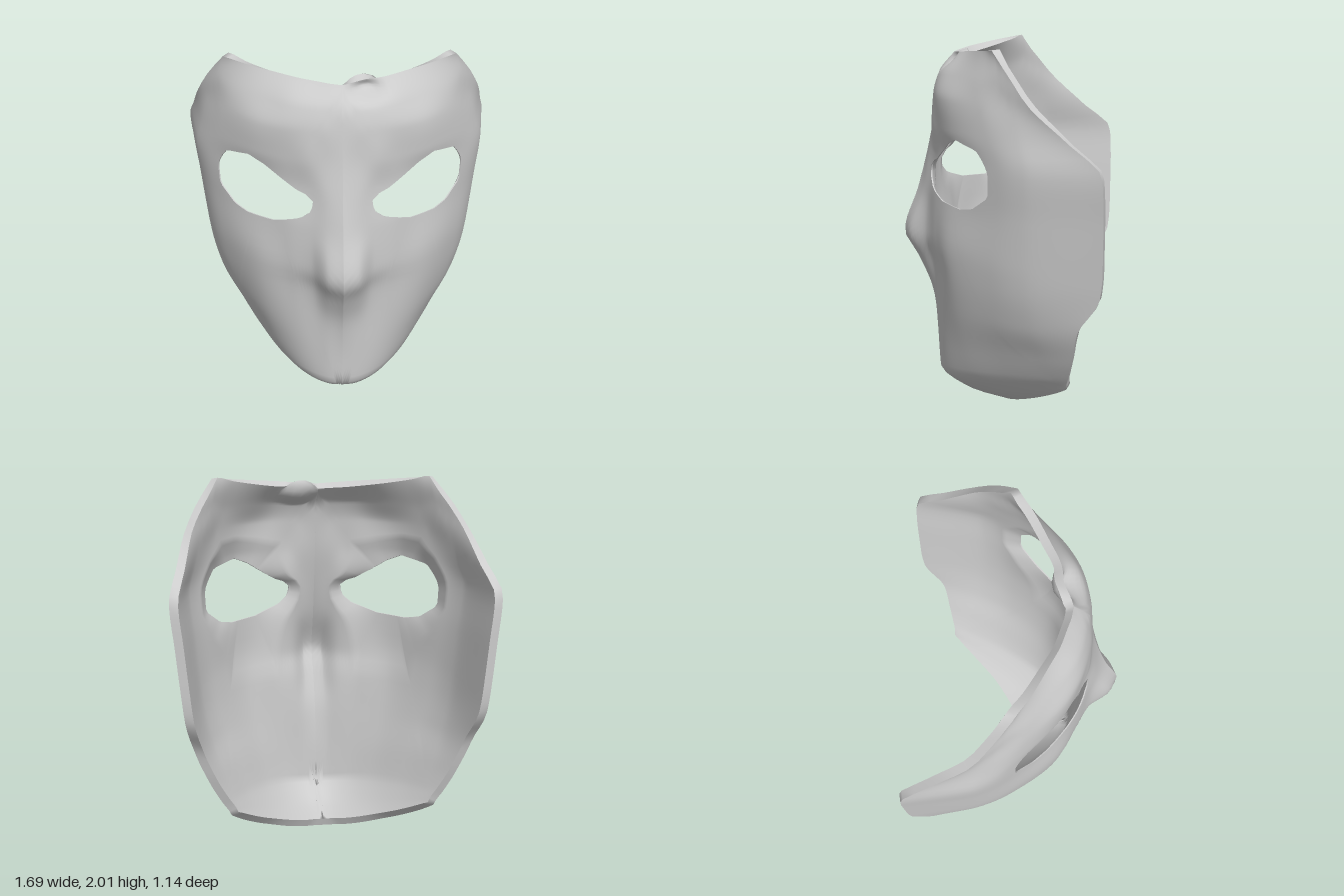
import * as THREE from 'three';

// Half cross-sections, chin to brow: height at centre, rise toward the edge, half width,
// then depth z at each column fraction of the half width.
const COLS = [0, 0.1, 0.2, 0.35, 0.55, 0.8, 0.92, 1];
const ROWS = [
  [0, 0.25, 0.55, 0.04, 0.03, 0, -0.05, -0.13, -0.27, -0.34, -0.38],
  [0.05, 0.22, 0.56, 0.2, 0.2, 0.18, 0.12, 0, -0.2, -0.31, -0.38],
  [0.18, 0.15, 0.6, 0.37, 0.365, 0.345, 0.29, 0.16, -0.1, -0.27, -0.39],
  [0.38, 0.07, 0.665, 0.38, 0.375, 0.355, 0.31, 0.2, -0.06, -0.25, -0.41],
  [0.6, 0.02, 0.735, 0.41, 0.39, 0.36, 0.32, 0.23, -0.01, -0.2, -0.44],
  [0.82, 0, 0.785, 0.5, 0.46, 0.38, 0.33, 0.25, 0.01, -0.19, -0.55],
  [0.95, 0, 0.8, 0.57, 0.53, 0.42, 0.35, 0.26, 0.02, -0.18, -0.56],
  [1.2, 0, 0.825, 0.49, 0.45, 0.4, 0.34, 0.22, 0, -0.18, -0.56],
  [1.43, 0, 0.847, 0.43, 0.41, 0.37, 0.31, 0.19, -0.01, -0.18, -0.55],
  [1.58, 0, 0.805, 0.4, 0.39, 0.38, 0.33, 0.24, 0.03, -0.14, -0.39],
  [1.74, 0, 0.755, 0.38, 0.38, 0.37, 0.34, 0.26, 0.06, -0.1, -0.2],
  [1.85, 0.02, 0.69, 0.36, 0.35, 0.34, 0.31, 0.22, 0.08, -0.02, -0.1],
  [1.95, 0.05, 0.6, 0.28, 0.27, 0.25, 0.22, 0.16, 0.08, 0.03, 0],
];
const HEIGHTS = ROWS.map((r) => r[0]);
const TOP = 1.95;

// Eye opening, counterclockwise as [x, y]
const EYE = [[0.15, 1.375], [0.16, 1.3], [0.22, 1.25], [0.36, 1.2], [0.5, 1.188], [0.57, 1.205],
  [0.65, 1.28], [0.655, 1.4], [0.6, 1.51], [0.48, 1.545], [0.4, 1.51], [0.23, 1.4]];

// Smooth interpolation that never overshoots
function smooth(xs, ys, x) {
  const last = xs.length - 2;
  let k = 0;
  while (k < last && x > xs[k + 1]) k++;
  const slope = (i) => (ys[i + 1] - ys[i]) / (xs[i + 1] - xs[i]);
  const tangent = (i) => {
    if (i === 0) return slope(0);
    if (i > last) return slope(last);
    const a = slope(i - 1), b = slope(i);
    return a * b <= 0 ? 0 : (2 * a * b) / (a + b);
  };
  const h = xs[k + 1] - xs[k], t = (x - xs[k]) / h, t2 = t * t, t3 = t2 * t;
  return (2 * t3 - 3 * t2 + 1) * ys[k] + (t3 - 2 * t2 + t) * h * tangent(k)
    + (3 * t2 - 2 * t3) * ys[k + 1] + (t3 - t2) * h * tangent(k + 1);
}

const rowValue = (column, w) => smooth(HEIGHTS, ROWS.map((r) => r[column]), w);

// Point on the face: s runs from centre to edge, w from chin to brow
function facePoint(s, w, side) {
  const x = side * s * rowValue(2, w);
  const y = w + rowValue(1, w) * Math.pow(s, w > 1.7 ? 1 : 1.8);
  const depths = COLS.map((_, i) => rowValue(3 + i, w));
  // small dent at the top of the brow
  const dent = 0.07 * Math.exp(-(((x - 0.12) / 0.07) ** 2) - ((y - 1.92) / 0.035) ** 2);
  return [x, y, smooth(COLS, depths, s) - dent];
}

// Where a ray from the eye centre crosses the eye outline
function eyeHit(loop, c, dx, dy) {
  for (let i = 0; i < loop.length; i++) {
    const a = loop[i], b = loop[(i + 1) % loop.length];
    const ex = b[0] - a[0], ey = b[1] - a[1];
    const det = dx * ey - dy * ex;
    if (Math.abs(det) < 1e-9) continue;
    const ax = a[0] - c[0], ay = a[1] - c[1];
    const t = (ax * ey - ay * ex) / det;
    const u = (ax * dy - ay * dx) / det;
    if (t > 0 && u >= -1e-6 && u <= 1 + 1e-6) return [c[0] + dx * t, c[1] + dy * t];
  }
  return c;
}

function geometryFrom(positions, index) {
  const g = new THREE.BufferGeometry();
  g.setAttribute('position', new THREE.Float32BufferAttribute(positions, 3));
  g.setIndex(index);
  g.computeVertexNormals();
  return g;
}

export function createModel() {
  const group = new THREE.Group();
  group.name = 'mask';
  const grey = new THREE.MeshStandardMaterial({ color: 0xcccccc });
  grey.name = 'light grey';

  const RINGS = 28, THICK = 0.045;
  const loop = EYE.map(([x, y]) => [x / rowValue(2, y), y]);
  const centre = [0.5, 1.36];

  // Border of half the face, counterclockwise
  const border = [];
  const corners = [[0, 0], [1, 0], [1, TOP], [0, TOP]];
  corners.forEach((a, i) => {
    const b = corners[(i + 1) % 4], n = i % 2 ? 36 : 20;
    for (let k = 0; k < n; k++) {
      border.push([a[0] + (b[0] - a[0]) * k / n, a[1] + (b[1] - a[1]) * k / n]);
    }
  });
  const N = border.length;
  const eyeRing = border.map((p) => eyeHit(loop, centre, p[0] - centre[0], p[1] - centre[1]));

  // Rings of points from the eye to the border, sharing the centre line between halves
  const positions = [], thickness = [], halves = [];
  [1, -1].forEach((side, h) => {
    const ids = [];
    for (let i = 0; i <= RINGS; i++) {
      const t = 1 - Math.pow(1 - i / RINGS, 1.4);
      ids.push(border.map((b, j) => {
        if (h === 1 && i === RINGS && b[0] === 0) return halves[0][i][j];
        const e = eyeRing[j];
        const s = e[0] + (b[0] - e[0]) * t, w = e[1] + (b[1] - e[1]) * t;
        positions.push(...facePoint(s, w, side));
        thickness.push(THICK * Math.min(1, 0.15 + t * 3));
        return thickness.length - 1;
      }));
    }
    halves.push(ids);
  });

  const total = thickness.length;
  const front = [], back = [], rim = [];
  const quad = (list, a, b, c, d, flip) =>
    list.push(...(flip ? [a, c, b, a, d, c] : [a, b, c, a, c, d]));
  halves.forEach((ids, h) => {
    const flip = h === 1;
    for (let j = 0; j < N; j++) {
      const k = (j + 1) % N;
      for (let i = 0; i < RINGS; i++) {
        const q = [ids[i][j], ids[i + 1][j], ids[i + 1][k], ids[i][k]];
        quad(front, ...q, flip);
        quad(back, ...q, !flip);
      }
      const o = ids[RINGS], e = ids[0];
      if (border[j][0] > 0 || border[k][0] > 0) {
        quad(rim, o[j] + total, o[k] + total, o[k], o[j], flip);
      }
      quad(rim, e[j] + total, e[k] + total, e[k], e[j], !flip);
    }
  });

  // Outer face, inner face pushed back along the normals, and the edges joining them
  const outer = geometryFrom(positions, front);
  const normals = outer.attributes.normal.array;
  const inside = positions.map((p, i) => p - normals[i] * thickness[Math.floor(i / 3)]);
  const parts = {
    outerFace: outer,
    innerFace: geometryFrom(inside, back),
    edges: geometryFrom(positions.concat(inside), rim),
  };
  for (const [name, geometry] of Object.entries(parts)) {
    const mesh = new THREE.Mesh(geometry, grey);
    mesh.name = name;
    group.add(mesh);
  }
  return group;
}
